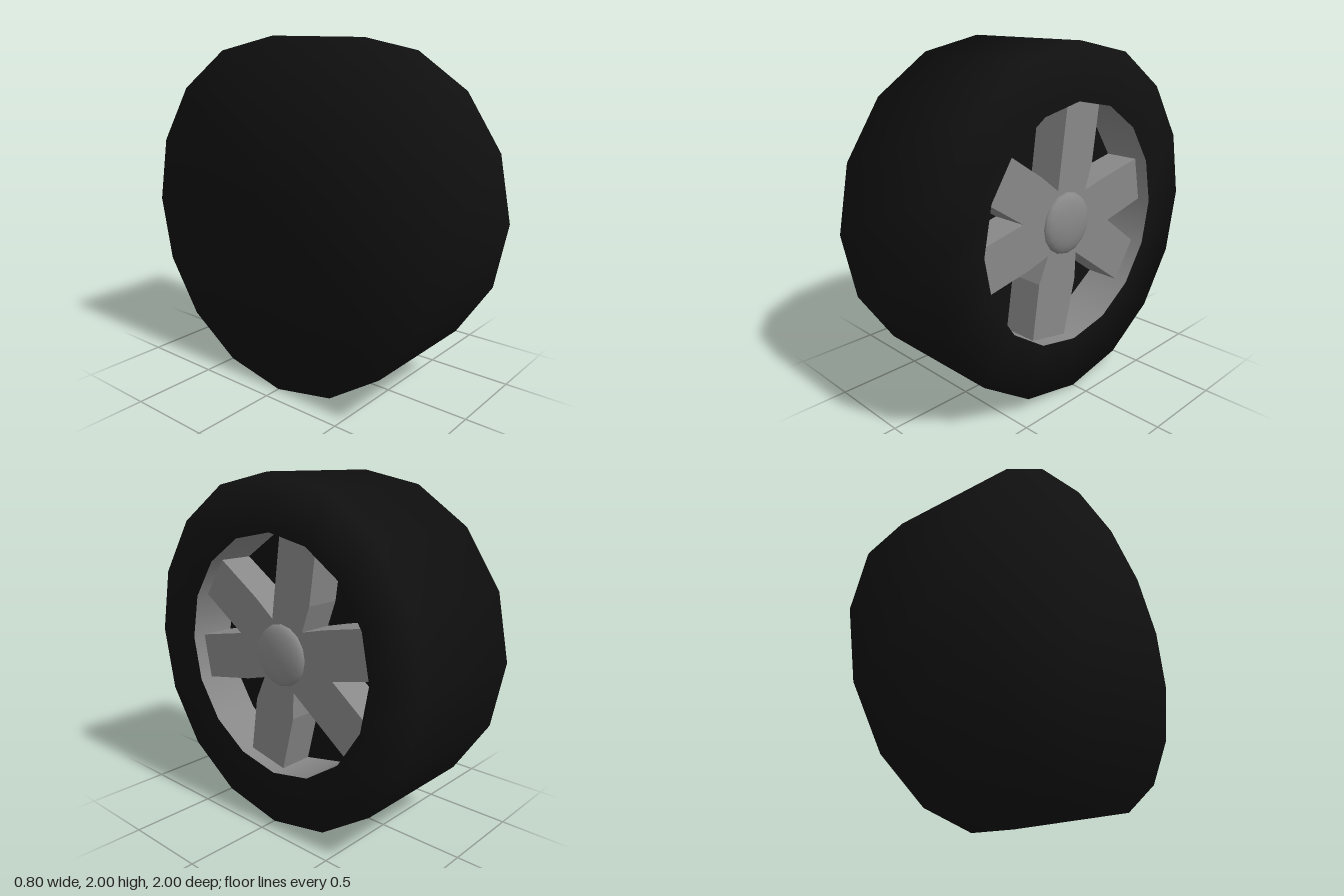
import * as THREE from 'three';

const SIDES = 16;
const RIM_R = 0.69;   // radius of the wheel opening
const FLOOR_X = 0.11; // depth of the recess behind the spokes
const FACE_X = 0.32;  // front plane of the spokes

const rubber = new THREE.MeshStandardMaterial({ color: 0x101010 });
const metal = new THREE.MeshStandardMaterial({ color: 0x888888 });

function add(group, name, geometry, material) {
  const mesh = new THREE.Mesh(geometry, material);
  mesh.name = name;
  group.add(mesh);
  return mesh;
}

// Surface of revolution about the x axis; points are [radius, x]
function turned(points) {
  const profile = points.map(([r, x]) => new THREE.Vector2(r, x));
  return new THREE.LatheGeometry(profile, SIDES).rotateZ(-Math.PI / 2);
}

// Six spokes, each ending on one side of the 16-sided rim, with the valley that follows it
function spokeShape() {
  const spokes = [
    [0, [[0.215, 0.31], [0.16, 0.16], [0.32, 0.2]]],
    [3, [[0.38, -0.07]]],
    [5, [[0.09, -0.2], [0.085, -0.36]]],
    [8, [[-0.215, -0.31], [-0.145, -0.16], [-0.29, -0.2]]],
    [11, [[-0.34, 0.07]]],
    [13, [[-0.2, 0.3], [-0.07, 0.2]]],
  ];
  const points = [];
  for (const [side, valley] of spokes) {
    for (const k of [side, side + 1]) {
      const a = (k / SIDES) * Math.PI * 2;
      points.push(new THREE.Vector2(RIM_R * Math.sin(a), RIM_R * Math.cos(a)));
    }
    for (const [u, v] of valley) points.push(new THREE.Vector2(u, v));
  }
  return new THREE.Shape(points);
}

export function createModel() {
  const wheel = new THREE.Group();
  wheel.name = 'wheel';

  // Tyre: closed inner side, tread and outer sidewall
  add(wheel, 'tyre', turned([[0, -0.4], [1, -0.4], [1, 0.4], [RIM_R, 0.4]]), rubber);

  // Recess: metal wall and dark floor
  add(wheel, 'rimWall', turned([[RIM_R, 0.4], [RIM_R, FLOOR_X]]), metal);
  add(wheel, 'rimFloor', turned([[RIM_R, FLOOR_X], [0, FLOOR_X]]), rubber);

  // Spokes
  const spokes = new THREE.ExtrudeGeometry(spokeShape(), {
    depth: FACE_X - FLOOR_X, bevelEnabled: false,
  });
  spokes.rotateY(Math.PI / 2).translate(FLOOR_X, 0, 0);
  add(wheel, 'spokes', spokes, metal);

  // Shallow hub cap
  const cap = new THREE.SphereGeometry(0.18, SIDES, 6, 0, Math.PI * 2, 0, Math.PI / 2);
  cap.scale(1, 0.33, 1).rotateZ(-Math.PI / 2).translate(FACE_X, 0, 0);
  add(wheel, 'hubCap', cap, metal);

  for (const part of wheel.children) part.position.y = 1;
  return wheel;
}
